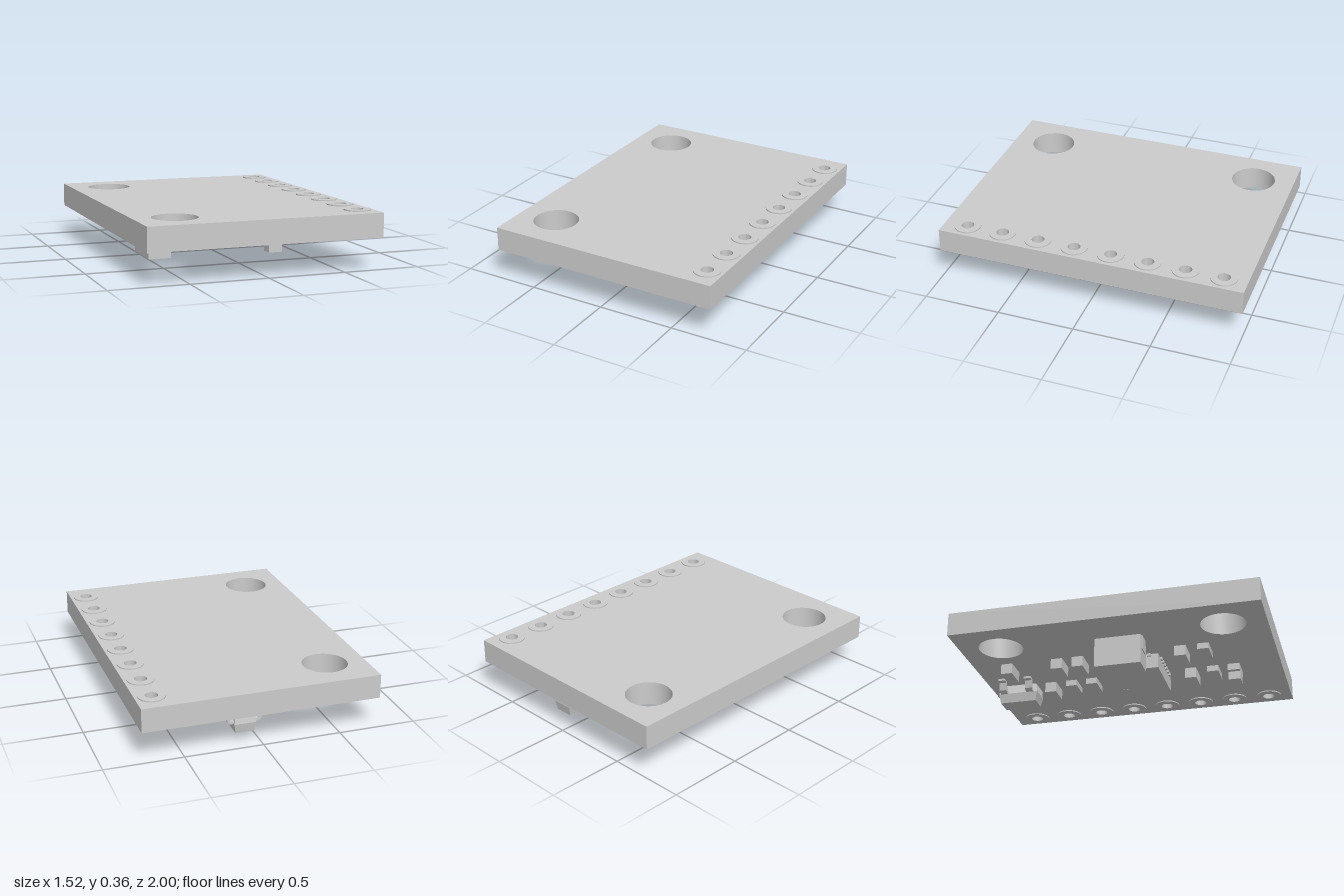
import * as THREE from 'three';
import { toCreasedNormals } from 'three/addons/utils/BufferGeometryUtils.js';

const GREY = new THREE.MeshStandardMaterial({ color: 0xcccccc });
const UNDER = 0.2, TOP = 0.355; // board faces

function add(parent, name, geometry) {
  const mesh = new THREE.Mesh(geometry, GREY);
  mesh.name = name;
  parent.add(mesh);
  return mesh;
}

// Box given by its minimum and maximum on each axis
function block(parent, name, x0, x1, y0, y1, z0, z1) {
  const mesh = add(parent, name, new THREE.BoxGeometry(x1 - x0, y1 - y0, z1 - z0));
  mesh.position.set((x0 + x1) / 2, (y0 + y1) / 2, (z0 + z1) / 2);
  return mesh;
}

function group(parent, name) {
  const g = new THREE.Group();
  g.name = name;
  parent.add(g);
  return g;
}

export function createModel() {
  const model = new THREE.Group();
  model.name = 'sensorBoard';
  const padZ = Array.from({ length: 8 }, (_, i) => -0.85 + i * 0.242);
  const padX = 0.655;

  // Board with two mounting holes and a row of pin holes
  const outline = new THREE.Shape([[-0.76, -1], [0.76, -1], [0.76, 1], [-0.76, 1]].map(p => new THREE.Vector2(...p)));
  const drill = (x, z, r) => outline.holes.push(new THREE.Path().absarc(x, -z, r, 0, Math.PI * 2, true));
  for (const z of [-0.73, 0.725]) drill(-0.5, z, 0.144);
  for (const z of padZ) drill(padX, z, 0.045);
  const board = new THREE.ExtrudeGeometry(outline, { depth: TOP - UNDER, bevelEnabled: false, curveSegments: 24 });
  board.rotateX(-Math.PI / 2).translate(0, UNDER, 0);
  add(model, 'board', toCreasedNormals(board, 0.6));

  // Plated pin holes: a rim on each face joined by a barrel
  const rim = [[0.04, 0.193], [0.085, 0.193], [0.085, 0.2], [0.046, 0.2], [0.046, 0.355],
    [0.085, 0.355], [0.085, 0.363], [0.04, 0.363], [0.04, 0.193]].map(p => new THREE.Vector2(...p));
  const padGeometry = toCreasedNormals(new THREE.LatheGeometry(rim, 32), 0.6);
  const pads = group(model, 'pinPads');
  for (const z of padZ) add(pads, 'pinPad', padGeometry).position.set(padX, 0, z);

  // Main square chip with six short contacts on each side and a corner mark
  const chip = group(model, 'mainChip');
  block(chip, 'chipBody', -0.19, 0.2, 0.1, UNDER, -0.13, 0.24);
  for (let i = 0; i < 6; i++) {
    const t = -0.125 + i * 0.05;
    for (const s of [-1, 1]) {
      const a = block(chip, 'chipContact', -0.012, 0.012, 0.182, UNDER, -0.012, 0.012);
      a.position.x = 0.005 + t;
      a.position.z = 0.055 + s * 0.187;
      const b = block(chip, 'chipContact', -0.012, 0.012, 0.182, UNDER, -0.012, 0.012);
      b.position.x = 0.005 + s * 0.197;
      b.position.z = 0.055 + t;
    }
  }
  add(chip, 'cornerMark', new THREE.CylinderGeometry(0.016, 0.016, 0.004, 20)).position.set(0.11, 0.1, -0.05);

  // Tall capacitor with a terminal plate at each end
  const tall = group(model, 'tallCapacitor');
  block(tall, 'capacitorBody', -0.5, -0.35, 0, 0.195, -0.105, 0.195);
  for (const z of [-0.105, 0.195]) block(tall, 'terminalPlate', -0.47, -0.38, 0.105, UNDER, z - 0.006, z + 0.006);

  // Voltage regulator: body widest at mid height, bent legs on both sides
  const regulator = group(model, 'regulator');
  const body = new THREE.BoxGeometry(0.14, 0.125, 0.27, 1, 2, 1);
  const p = body.attributes.position;
  for (let i = 0; i < p.count; i++) {
    const k = Math.abs(p.getY(i)) > 0.01 ? 0.012 : 0;
    p.setX(i, p.getX(i) - Math.sign(p.getX(i)) * k);
    p.setZ(i, p.getZ(i) - Math.sign(p.getZ(i)) * k);
  }
  const bodyGeometry = body.toNonIndexed();
  bodyGeometry.computeVertexNormals();
  add(regulator, 'regulatorBody', bodyGeometry).position.set(0.09, 0.119, -0.785);
  const bend = new THREE.Shape([[0.06, 0.118], [0.095, 0.118], [0.107, 0.13], [0.115, 0.182], [0.145, 0.185],
    [0.145, UNDER], [0.108, UNDER], [0.1, 0.194], [0.09, 0.138], [0.06, 0.136]].map(q => new THREE.Vector2(...q)));
  const leg = new THREE.ExtrudeGeometry(bend, { depth: 0.048, bevelEnabled: false });
  leg.translate(0, 0, -0.024);
  for (const z of [-0.88, -0.79, -0.7]) add(regulator, 'regulatorLeg', leg).position.set(0.09, 0, z);
  for (const z of [-0.88, -0.7]) {
    const far = add(regulator, 'regulatorLeg', leg);
    far.rotation.y = Math.PI;
    far.position.set(0.09, 0, z);
  }

  // Small resistors and capacitors: centre x, centre z, lowest height
  const small = group(model, 'smallParts');
  const parts = [
    [0.155, -0.573, 0.13], [0.155, -0.427, 0.16], [0.155, -0.285, 0.16],
    [-0.195, -0.77, 0.13], [-0.195, -0.427, 0.13], [-0.195, -0.285, 0.13],
    [0.155, 0.4, 0.13], [0.155, 0.55, 0.16], [-0.195, 0.4, 0.13], [-0.195, 0.55, 0.16],
  ];
  for (const [x, z, y] of parts) {
    block(small, y < 0.15 ? 'smallCapacitor' : 'smallResistor', x - 0.075, x + 0.075, y, UNDER, z - 0.038, z + 0.038);
  }

  // Indicator lamp: base with end terminals and a raised lens
  const lamp = group(model, 'indicatorLamp');
  block(lamp, 'lampBase', 0.08, 0.23, 0.155, UNDER, 0.65, 0.73);
  block(lamp, 'lampLens', 0.11, 0.2, 0.1, 0.155, 0.65, 0.73);

  return model;
}
